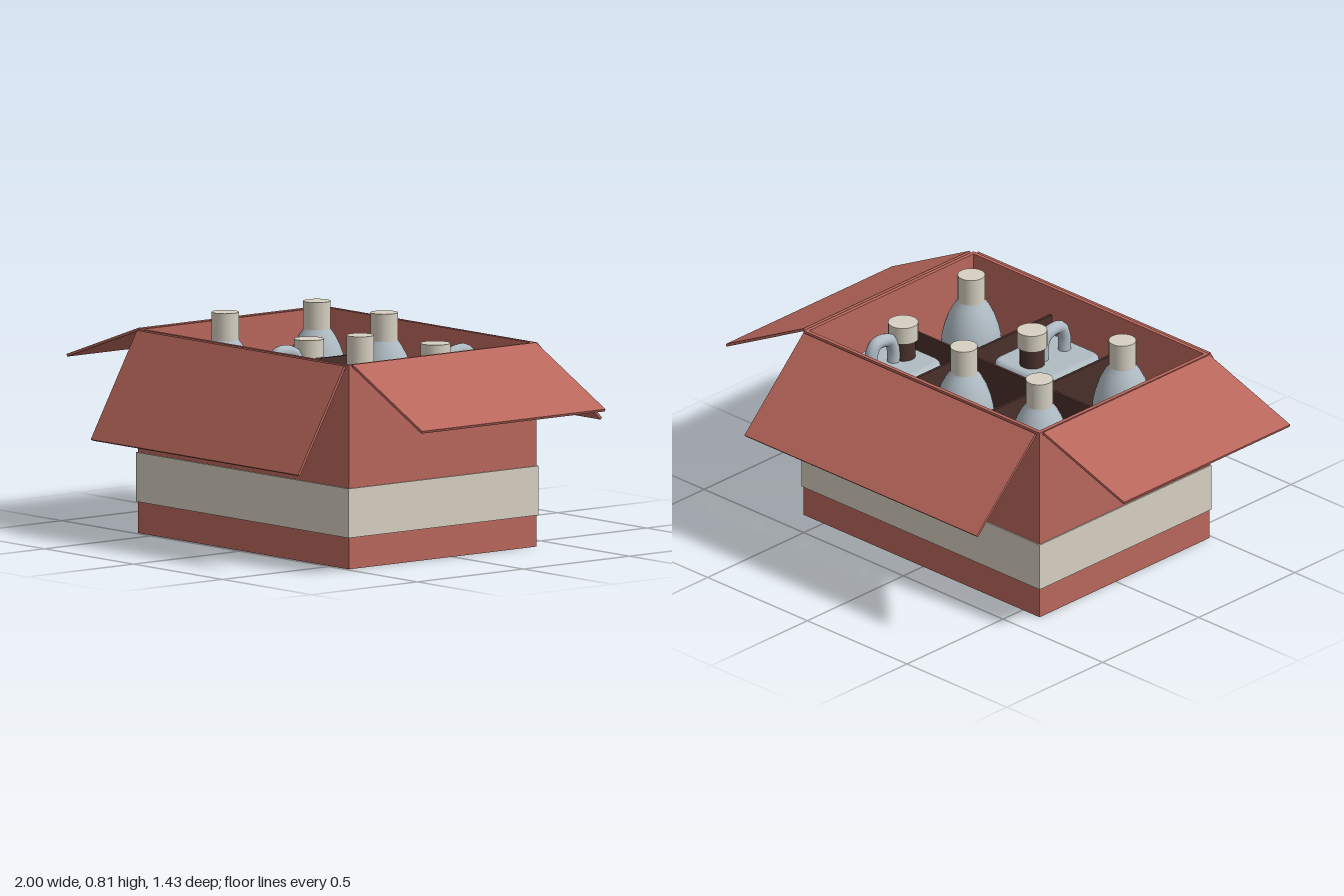
import * as THREE from 'three';

const mat = (name, color) => {
  const m = new THREE.MeshStandardMaterial({ color });
  m.name = name;
  return m;
};

export function createModel() {
  const card = mat('red cardboard', 0xb9675c);
  const cream = mat('cream', 0xd6d0c1);
  const metal = mat('blue grey', 0xafbbc3);
  const dark = mat('dark brown', 0x4a302b);

  const root = new THREE.Group();
  root.name = 'openCarton';
  // the open flaps differ in reach, so the carton sits slightly off centre
  const carton = new THREE.Group();
  carton.name = 'carton';
  carton.position.set(0.0075, 0, 0.045);
  root.add(carton);

  const add = (parent, name, geo, material, x = 0, y = 0, z = 0) => {
    const m = new THREE.Mesh(geo, material);
    m.name = name;
    m.position.set(x, y, z);
    parent.add(m);
    return m;
  };
  const box = (w, h, d) => new THREE.BoxGeometry(w, h, d);

  // walls and floor
  const HX = 0.5925, HZ = 0.4425, H = 0.745, T = 0.015;
  add(carton, 'floor', box(HX * 2, T, HZ * 2), card, 0, T / 2, 0);
  for (const s of [-1, 1]) {
    add(carton, 'sideWall', box(T, H - T, HZ * 2), card, s * (HX - T / 2), (H + T) / 2, 0);
    add(carton, 'endWall', box(HX * 2 - 2 * T, H - T, T), card, 0, (H + T) / 2, s * (HZ - T / 2));
  }

  // printed band round the outside
  const B = 0.005, bandY = 0.205, bandH = 0.18;
  for (const s of [-1, 1]) {
    add(carton, 'sideBand', box(B, bandH, HZ * 2), cream, s * (HX + B / 2), bandY, 0);
    add(carton, 'frontBackBand', box(HX * 2 + 2 * B, bandH, B), cream, 0, bandY, s * (HZ + B / 2));
  }

  // flaps: turn, width, hinge distance, hinge height, tip distance, tip height
  const flaps = [
    ['frontFlap', 0, 1.165, 0.452, 0.74, 0.67, 0.362],
    ['backFlap', Math.PI, 1.165, 0.45, 0.74, 0.757, 0.437],
    ['leftFlap', Math.PI / 2, 0.865, 0.599, 0.743, 0.99, 0.543],
    ['rightFlap', -Math.PI / 2, 0.865, 0.599, 0.743, 1.005, 0.602],
  ];
  for (const [name, turn, width, d0, y0, d1, y1] of flaps) {
    const pivot = new THREE.Group();
    pivot.name = name;
    pivot.rotation.y = turn;
    carton.add(pivot);
    const panel = add(pivot, name + 'Panel', box(width, 0.01, Math.hypot(d1 - d0, y1 - y0)), card,
      0, (y0 + y1) / 2, (d0 + d1) / 2);
    panel.rotation.x = Math.atan2(y0 - y1, d1 - d0);
  }

  // dividers making six cells
  const DH = 0.62;
  add(carton, 'longDivider', box(HX * 2 - 2 * T, DH, 0.01), dark, 0, T + DH / 2, -0.005);
  for (const x of [-0.19, 0.19]) {
    add(carton, 'crossDivider', box(0.01, DH, HZ * 2 - 2 * T), dark, x, T + DH / 2, 0);
  }

  // round bottle with a domed shoulder
  const profile = [[0, 0], [0.1, 0], [0.11, 0.012], [0.11, 0.3], [0.11, 0.52], [0.107, 0.555],
    [0.098, 0.595], [0.084, 0.635], [0.066, 0.67], [0.052, 0.69], [0.045, 0.705], [0.045, 0.72]]
    .map(([r, y]) => new THREE.Vector2(r, y));
  const bottleGeo = new THREE.LatheGeometry(profile, 32);
  const capGeo = new THREE.CylinderGeometry(0.05, 0.05, 0.1, 24);
  function bottle(x, z) {
    const g = new THREE.Group();
    g.name = 'bottle';
    g.position.set(x, T, z);
    add(g, 'bottleBody', bottleGeo, metal);
    add(g, 'bottleCap', capGeo, cream, 0, 0.745, 0);
    carton.add(g);
  }

  // square can with a rounded, bevelled body
  const w = 0.118, d = 0.138, r = 0.03;
  const outline = new THREE.Shape();
  outline.absarc(w - r, d - r, r, 0, Math.PI / 2);
  outline.absarc(-w + r, d - r, r, Math.PI / 2, Math.PI);
  outline.absarc(-w + r, -d + r, r, Math.PI, Math.PI * 1.5);
  outline.absarc(w - r, -d + r, r, Math.PI * 1.5, Math.PI * 2);
  const canGeo = new THREE.ExtrudeGeometry(outline, {
    depth: 0.555, bevelSize: 0.02, bevelThickness: 0.02, bevelSegments: 3, curveSegments: 6,
  });
  canGeo.rotateX(-Math.PI / 2);
  canGeo.translate(0, 0.02, 0);
  const handleGeo = new THREE.TubeGeometry(new THREE.CatmullRomCurve3([
    [0.58, 0.09], [0.65, 0.09], [0.69, 0.07], [0.695, 0.03], [0.68, -0.01], [0.64, -0.025], [0.58, -0.025],
  ].map(([y, z]) => new THREE.Vector3(0, y, z))), 28, 0.024, 12);
  function can(x, z, turn) {
    const g = new THREE.Group();
    g.name = 'can';
    g.position.set(x, T, z);
    g.rotation.y = turn;
    add(g, 'canBody', canGeo, metal);
    add(g, 'canHandle', handleGeo, metal);
    add(g, 'canNeck', new THREE.CylinderGeometry(0.045, 0.045, 0.09, 24), dark, 0, 0.635, -0.077);
    add(g, 'canCap', new THREE.CylinderGeometry(0.055, 0.055, 0.065, 24), cream, 0, 0.7, -0.077);
    carton.add(g);
  }

  // contents
  const X = 0.379, FRONT = 0.21, BACK = -0.222;
  bottle(-X, FRONT);
  bottle(X, FRONT);
  bottle(-X, BACK);
  bottle(0, BACK);
  can(0, FRONT, 0);
  can(X, BACK, Math.PI);

  return root;
}
